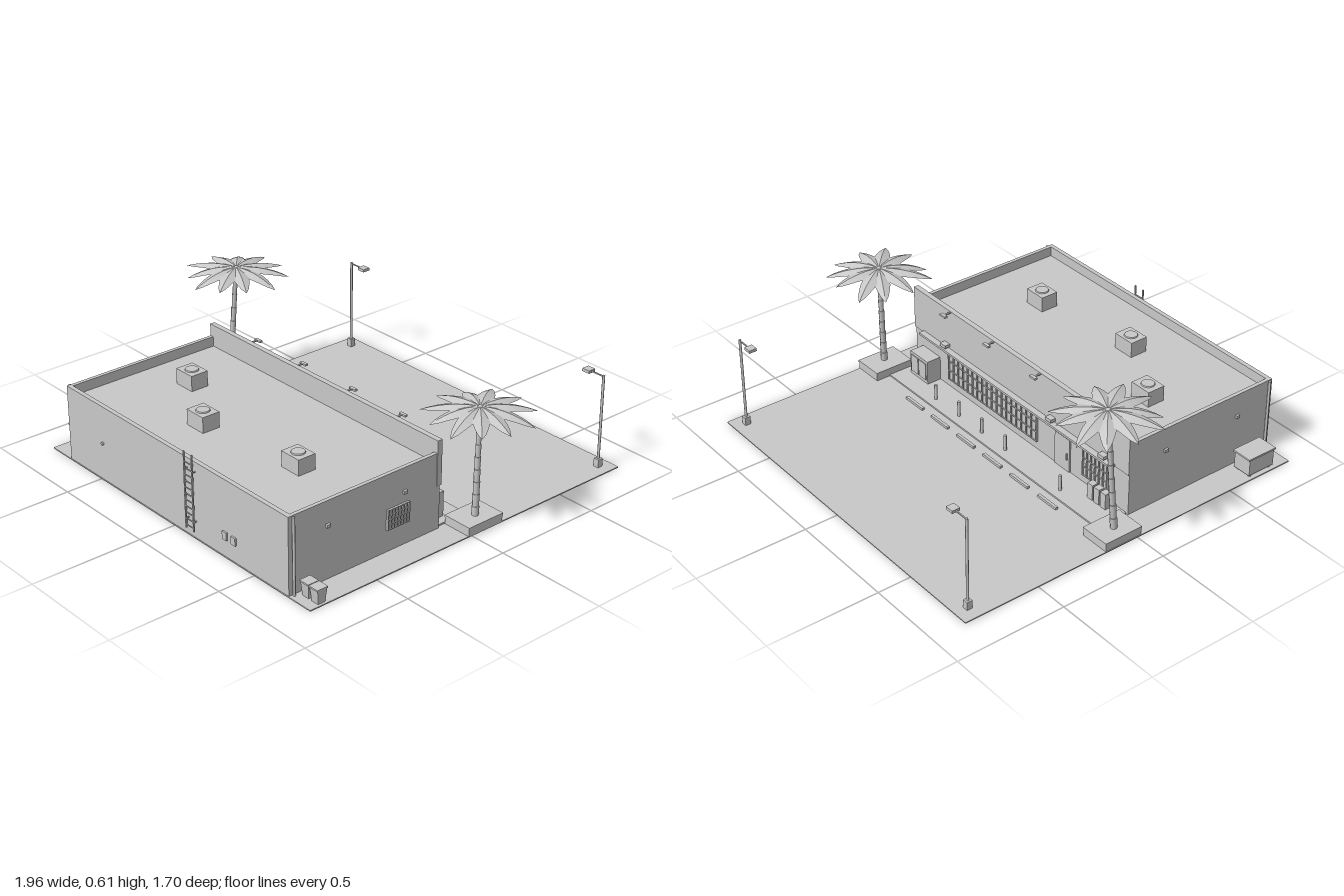
import * as THREE from 'three';

export function createModel() {
  const model = new THREE.Group();
  const grey = new THREE.MeshStandardMaterial({ color: 0xc8c8c8, side: THREE.DoubleSide });
  grey.name = 'lightGrey';

  const add = (name, geometry, x = 0, y = 0, z = 0, parent = model) => {
    const mesh = new THREE.Mesh(geometry, grey);
    mesh.name = name;
    mesh.position.set(x, y, z);
    parent.add(mesh);
    return mesh;
  };
  // Box given by its extents on each axis
  const box = (name, x0, x1, y0, y1, z0, z1, parent) =>
    add(name, new THREE.BoxGeometry(x1 - x0, y1 - y0, z1 - z0),
      (x0 + x1) / 2, (y0 + y1) / 2, (z0 + z1) / 2, parent);
  const post = (name, x, z, y0, y1, r, parent) =>
    add(name, new THREE.CylinderGeometry(r, r, y1 - y0, 8), x, (y0 + y1) / 2, z, parent);
  const group = (name) => {
    const g = new THREE.Group();
    g.name = name;
    model.add(g);
    return g;
  };

  // Lot and sidewalk
  box('lot', -0.85, 0.83, 0, 0.005, -0.85, 0.832);
  box('sidewalk', -0.71, 0.695, 0.005, 0.012, -0.095, 0.06);

  // Building: solid body with a recessed roof inside a rim
  const shop = group('building');
  box('body', -0.72, 0.705, 0.004, 0.3, 0.062, 0.83, shop);
  box('backRim', -0.72, 0.705, 0.3, 0.345, 0.81, 0.83, shop);
  box('sideRim', -0.72, -0.703, 0.3, 0.345, 0.08, 0.81, shop);
  box('sideRim', 0.688, 0.705, 0.3, 0.345, 0.08, 0.81, shop);
  box('frontParapet', -0.722, 0.708, 0.2, 0.4, 0.056, 0.08, shop);
  box('storefrontLedge', -0.64, 0.64, 0.2, 0.21, 0.028, 0.06, shop);

  // Rooftop units with round fan covers
  for (const [x, z] of [[-0.463, 0.378], [-0.138, 0.57], [0.38, 0.508]]) {
    box('rooftopUnit', x - 0.052, x + 0.052, 0.3, 0.37, z - 0.042, z + 0.042);
    add('fanCover', new THREE.CylinderGeometry(0.028, 0.03, 0.005, 16), x, 0.3725, z);
  }

  // Barred window on a wall facing -z (centre line z), optionally turned to face a side
  function window(name, width, y0, y1, columns, rows, x, z, turn = 0) {
    const g = group(name);
    const w = width / 2;
    box('glass', -w, w, y0, y1, -0.002, 0.002, g);
    for (let i = 0; i <= columns; i++) {
      const px = -w + (width * i) / columns;
      box('upright', px - 0.003, px + 0.003, y0, y1, -0.008, 0.002, g);
    }
    for (let j = 0; j <= rows; j++) {
      const py = y0 + ((y1 - y0) * j) / rows;
      box('crossbar', -w - 0.003, w + 0.003, py - 0.002, py + 0.002, -0.007, 0.002, g);
    }
    g.position.set(x, 0, z);
    g.rotation.y = turn;
  }
  window('longShopWindow', 0.605, 0.05, 0.19, 18, 3, 0.158, 0.06);
  window('smallShopWindow', 0.15, 0.05, 0.18, 6, 3, -0.52, 0.06);
  window('sideWindow', 0.11, 0.105, 0.19, 7, 4, 0.707, 0.285, -Math.PI / 2);

  // Shop door
  box('door', -0.36, -0.265, 0.012, 0.17, 0.055, 0.063);
  box('doorHandle', -0.35, -0.345, 0.07, 0.1, 0.048, 0.056);

  // Sign lamps along the parapet
  for (const x of [-0.465, -0.165, 0.145, 0.445]) {
    box('lampArm', x - 0.004, x + 0.004, 0.392, 0.397, 0.025, 0.06);
    box('signLamp', x - 0.018, x + 0.018, 0.388, 0.397, 0.013, 0.027);
  }
  for (const x of [-0.58, -0.25, 0.47]) box('wallLamp', x - 0.018, x + 0.018, 0.217, 0.232, 0.03, 0.058);

  // Side wall lamps and downpipes
  for (const [wall, s] of [[-0.722, -1], [0.708, 1]]) {
    for (const z of [0.25, 0.64])
      add('sideLamp', new THREE.BoxGeometry(0.012, 0.014, 0.018), wall + s * 0.002, 0.24, z);
    post('downpipe', wall + s * 0.005, 0.81, 0.005, 0.342, 0.006);
  }

  // Back wall: ladder, meters and vent
  const ladder = group('ladder');
  for (const x of [0.098, 0.147]) box('rail', x - 0.003, x + 0.003, 0.04, 0.38, 0.842, 0.848, ladder);
  for (let i = 0; i < 11; i++) {
    const y = 0.055 + i * 0.028;
    box('rung', 0.098, 0.147, y - 0.002, y + 0.002, 0.843, 0.847, ladder);
  }
  for (const y of [0.08, 0.3]) for (const x of [0.098, 0.147])
    box('bracket', x - 0.002, x + 0.002, y, y + 0.004, 0.828, 0.844, ladder);
  for (const x of [0.328, 0.382]) box('meterBox', x - 0.013, x + 0.013, 0.083, 0.117, 0.828, 0.838);
  add('vent', new THREE.CylinderGeometry(0.007, 0.007, 0.012, 10), -0.475, 0.175, 0.832).rotation.x = Math.PI / 2;

  // Ice chest and news boxes beside the storefront
  box('iceChest', 0.53, 0.655, 0.012, 0.125, -0.01, 0.06);
  box('iceChestDoor', 0.54, 0.59, 0.03, 0.112, -0.014, -0.009);
  box('iceChestDoor', 0.596, 0.645, 0.03, 0.112, -0.014, -0.009);
  for (const x of [-0.63, -0.59, -0.55]) box('newsBox', x - 0.016, x + 0.016, 0.012, 0.085, 0.005, 0.035);

  // Bollards and wheel stops
  for (const x of [-0.43, -0.07, 0.09, 0.25, 0.415]) post('bollard', x, -0.05, 0.01, 0.085, 0.007);
  for (let i = 0; i < 6; i++) {
    const x = -0.46 + i * 0.181;
    box('wheelStop', x - 0.058, x + 0.058, 0.005, 0.016, -0.146, -0.133);
  }

  // Dumpster with an overhanging lid, and two tapered bins
  box('dumpster', -0.838, -0.75, 0.016, 0.092, 0.615, 0.75);
  box('dumpsterLid', -0.842, -0.745, 0.092, 0.1, 0.608, 0.756);
  for (const x of [-0.825, -0.763]) for (const z of [0.63, 0.735]) post('caster', x, z, 0.005, 0.017, 0.007);
  for (const x of [0.748, 0.801]) {
    const bin = add('bin', new THREE.CylinderGeometry(0.033, 0.025, 0.06, 4, 1).rotateY(Math.PI / 4), x, 0.035, 0.767);
    bin.geometry = bin.geometry.toNonIndexed();
    bin.geometry.computeVertexNormals();
    box('binLid', x - 0.025, x + 0.025, 0.065, 0.072, 0.741, 0.793);
  }

  // Lot lamps
  for (const [x, s] of [[-0.785, 1], [0.77, -1]]) {
    const lamp = group('lotLamp');
    box('lampBase', x - 0.013, x + 0.013, 0.005, 0.042, -0.803, -0.777, lamp);
    post('lampPole', x, -0.79, 0.04, 0.425, 0.006, lamp);
    add('lampArm', new THREE.BoxGeometry(0.075, 0.005, 0.005), x + s * 0.035, 0.42, -0.79, lamp);
    add('lampHead', new THREE.BoxGeometry(0.038, 0.013, 0.036), x + s * 0.083, 0.42, -0.79, lamp);
  }

  // Creased, drooping leaf running along +x
  function frondGeometry(length, droop) {
    const rows = 7, pos = [], index = [];
    for (let i = 0; i <= rows; i++) {
      const t = i / rows;
      const half = 0.004 + 0.036 * Math.pow(Math.sin(Math.PI * Math.pow(t, 0.8)), 0.8) * (1 - 0.25 * t);
      const w = i === rows ? 0 : half;
      const y = 0.03 * t * (1 - t) - droop * t * t;
      pos.push(length * t, y - w * 0.35, -w, length * t, y, 0, length * t, y - w * 0.35, w);
      if (i === rows) continue;
      for (let k = 0; k < 2; k++) {
        const a = i * 3 + k;
        index.push(a, a + 1, a + 3, a + 1, a + 4, a + 3);
      }
    }
    const g = new THREE.BufferGeometry();
    g.setAttribute('position', new THREE.Float32BufferAttribute(pos, 3));
    g.setIndex(index);
    const flat = g.toNonIndexed();
    flat.computeVertexNormals();
    return flat;
  }

  // Palm: leaning ringed trunk with a star of fronds, standing in a planter
  function palm(base, top, turn) {
    const g = group('palm');
    const [bx, bz] = base, [tx, ty, tz] = top;
    const segments = 9;
    for (let i = 0; i < segments; i++) {
      const t = (i + 0.5) / segments, r = 0.015 - 0.006 * t, h = (ty - 0.03) / segments;
      const part = add('trunkRing', new THREE.CylinderGeometry(r + 0.001, r - 0.001, h * 1.03, 8),
        bx + (tx - bx) * t, 0.03 + h * (i + 0.5), bz + (tz - bz) * t, g);
      part.rotation.set((tz - bz) / ty, 0, (bx - tx) / ty);
    }
    for (let i = 0; i < 11; i++) {
      const wave = Math.sin(i * 2.4 + turn);
      const leaf = add('frond', frondGeometry(0.225 + 0.012 * wave, 0.036 + 0.01 * Math.cos(i * 1.7)), tx, ty, tz, g);
      leaf.rotation.y = turn + (i * Math.PI * 2) / 11 + 0.05 * wave;
    }
    add('crown', new THREE.SphereGeometry(0.014, 8, 6), tx, ty - 0.008, tz, g);
  }
  palm([-0.787, -0.07], [-0.762, 0.603, -0.1], 0.15);
  palm([0.773, -0.07], [0.766, 0.518, -0.085], 0.4);
  for (const x of [-0.78, 0.765]) {
    box('planter', x - 0.068, x + 0.068, 0.005, 0.04, -0.163, 0.02);
    box('planterRim', x - 0.07, x + 0.07, 0.036, 0.045, -0.165, 0.022);
  }
  return model;
}
